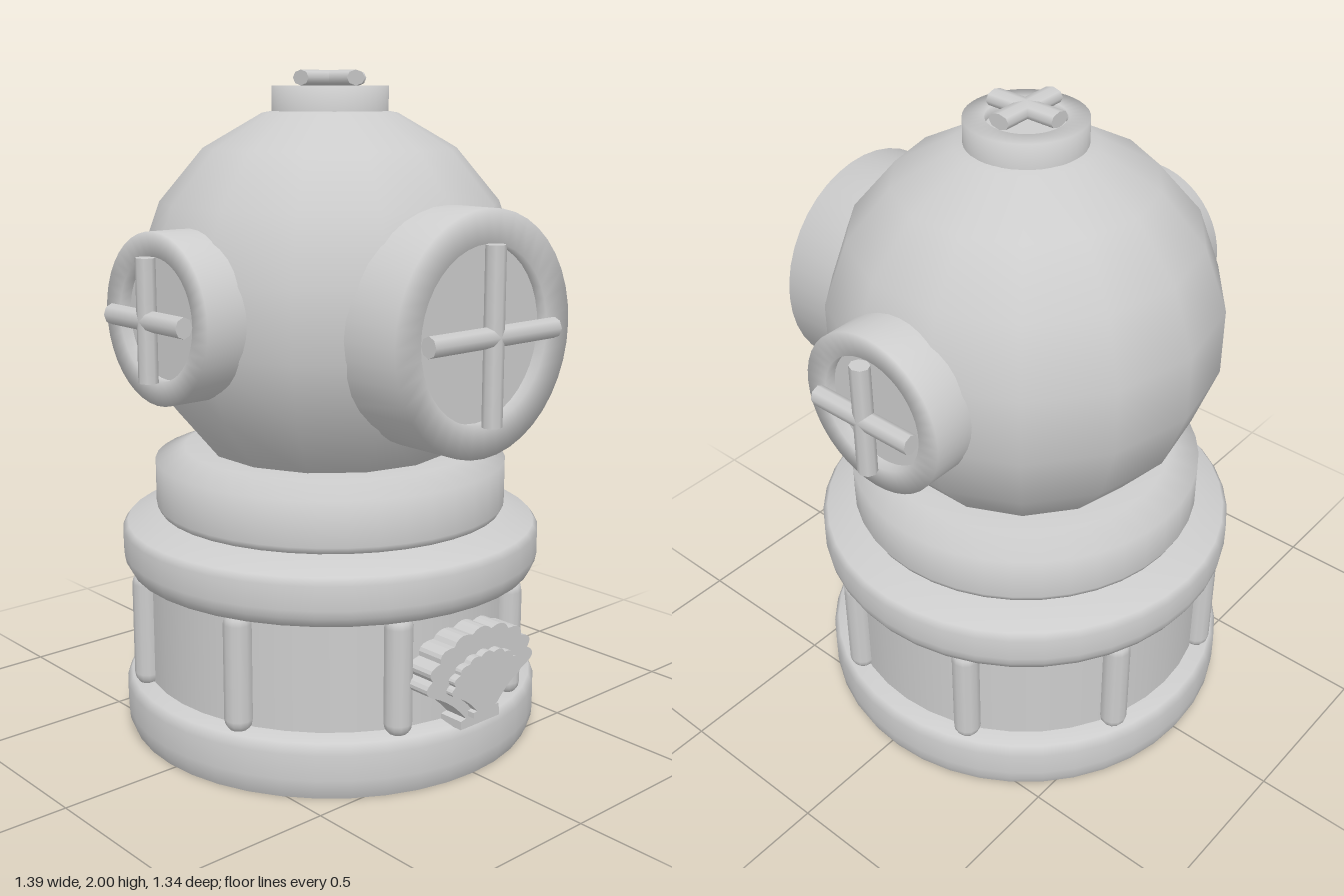
import * as THREE from 'three';

const metal = new THREE.MeshStandardMaterial({ color: 0xcccccc });
metal.name = 'grey metal';
const openMetal = metal.clone();
openMetal.side = THREE.DoubleSide;

const AXIS_Z = -0.027; // centre line of the helmet

function add(parent, name, geometry, material = metal) {
  const mesh = new THREE.Mesh(geometry, material);
  mesh.name = name;
  parent.add(mesh);
  return mesh;
}

function lathe(points, segments = 40) {
  return new THREE.LatheGeometry(points.map(([r, y]) => new THREE.Vector2(r, y)), segments);
}

// Round window: rim with a recessed pane and a cross of bars, facing +y
function makePort(name, { outer, inner, height, recess, barWidth, barDepth }) {
  const port = new THREE.Group();
  port.name = name;
  add(port, 'rim', lathe([[outer, -height], [outer, 0], [inner, 0], [inner, -recess]]));
  const pane = add(port, 'pane', new THREE.CircleGeometry(inner, 40));
  pane.rotation.x = -Math.PI / 2;
  pane.position.y = -recess;
  for (const turn of [0, Math.PI / 2]) {
    const bar = new THREE.CylinderGeometry(1, 1, inner * 2, 8);
    bar.rotateZ(Math.PI / 2);
    bar.scale(1, barDepth / 2, barWidth / 2);
    const mesh = add(port, 'crossBar', bar);
    mesh.rotation.y = turn;
    mesh.position.y = barDepth / 2;
  }
  return port;
}

// Scallop shell outline; the lobes fan out above a narrow foot
function shellShape(scale) {
  const shape = new THREE.Shape();
  const at = (x, y) => [x * scale, y * scale];
  const lobes = 9;
  const edge = (t, rx, ry) => at(-Math.cos(t) * rx, 0.155 + Math.sin(t) * ry);
  shape.moveTo(...at(-0.08, 0));
  shape.lineTo(...at(-0.08, 0.025));
  shape.lineTo(...at(-0.06, 0.03));
  shape.quadraticCurveTo(...at(-0.12, 0.1), ...edge(-0.2, 0.2, 0.125));
  const start = -0.2, span = Math.PI + 0.4;
  for (let i = 0; i < lobes; i++) {
    const mid = start + (span * (i + 0.5)) / lobes;
    const end = start + (span * (i + 1)) / lobes;
    shape.quadraticCurveTo(...edge(mid, 0.245, 0.153), ...edge(end, 0.2, 0.125));
  }
  shape.quadraticCurveTo(...at(0.12, 0.1), ...at(0.06, 0.03));
  shape.lineTo(...at(0.08, 0.025));
  shape.lineTo(...at(0.08, 0));
  shape.closePath();
  return shape;
}

export function createModel() {
  const model = new THREE.Group();
  model.name = 'divingHelmet';

  const body = new THREE.Group();
  body.name = 'body';
  body.position.z = AXIS_Z;
  model.add(body);

  // Dome
  const dome = new THREE.SphereGeometry(0.588, 14, 9);
  dome.rotateY(Math.PI / 2);
  add(body, 'dome', dome).position.y = 1.325;

  // Stacked collar rings
  add(body, 'upperCollar', lathe([
    [0.5, 0.675], [0.53, 0.685], [0.54, 0.705], [0.54, 0.84], [0.45, 0.875], [0.3, 0.875],
  ]));
  add(body, 'middleRing', lathe([
    [0.57, 0.505], [0.625, 0.508], [0.64, 0.535], [0.645, 0.56], [0.645, 0.63], [0.63, 0.65], [0.53, 0.685], [0.48, 0.685],
  ]));
  add(body, 'baseRing', lathe([
    [0.63, 0], [0.643, 0.03], [0.645, 0.06], [0.645, 0.135], [0.63, 0.165], [0.57, 0.176],
  ]), openMetal);

  // Closed drum between the rings
  add(body, 'drum', new THREE.CylinderGeometry(0.58, 0.58, 0.345, 40)).position.y = 0.3475;

  // Eight upright rods around the drum
  for (let i = 0; i < 8; i++) {
    const angle = ((i + 0.5) * Math.PI) / 4;
    const rod = add(body, 'rod', new THREE.CapsuleGeometry(0.042, 0.285, 4, 12));
    rod.position.set(Math.sin(angle) * 0.59, 0.342, Math.cos(angle) * 0.59);
  }

  // Windows
  const front = makePort('frontWindow',
    { outer: 0.345, inner: 0.25, height: 0.35, recess: 0.035, barWidth: 0.06, barDepth: 0.056 });
  front.rotation.x = Math.PI / 2;
  front.position.set(0, 1.29, 0.615);
  model.add(front);

  for (const side of [1, -1]) {
    const port = makePort(side > 0 ? 'leftWindow' : 'rightWindow',
      { outer: 0.242, inner: 0.173, height: 0.22, recess: 0.035, barWidth: 0.06, barDepth: 0.055 });
    port.rotation.z = (-side * Math.PI) / 2;
    port.position.set(side * 0.64, 1.325, AXIS_Z);
    model.add(port);
  }

  const top = makePort('topCap',
    { outer: 0.173, inner: 0.113, height: 0.1, recess: 0.03, barWidth: 0.07, barDepth: 0.045 });
  top.position.set(0, 1.955, AXIS_Z);
  model.add(top);

  // Shell ornament in two layers
  const layers = [['shellBack', 1, 0.165, 0.54, 0.085], ['shellFront', 0.65, 0.2, 0.62, 0.028]];
  for (const [name, scale, y, z, depth] of layers) {
    const geometry = new THREE.ExtrudeGeometry(shellShape(scale), { depth, bevelEnabled: false, curveSegments: 5 });
    add(model, name, geometry).position.set(0, y, z);
  }

  return model;
}
